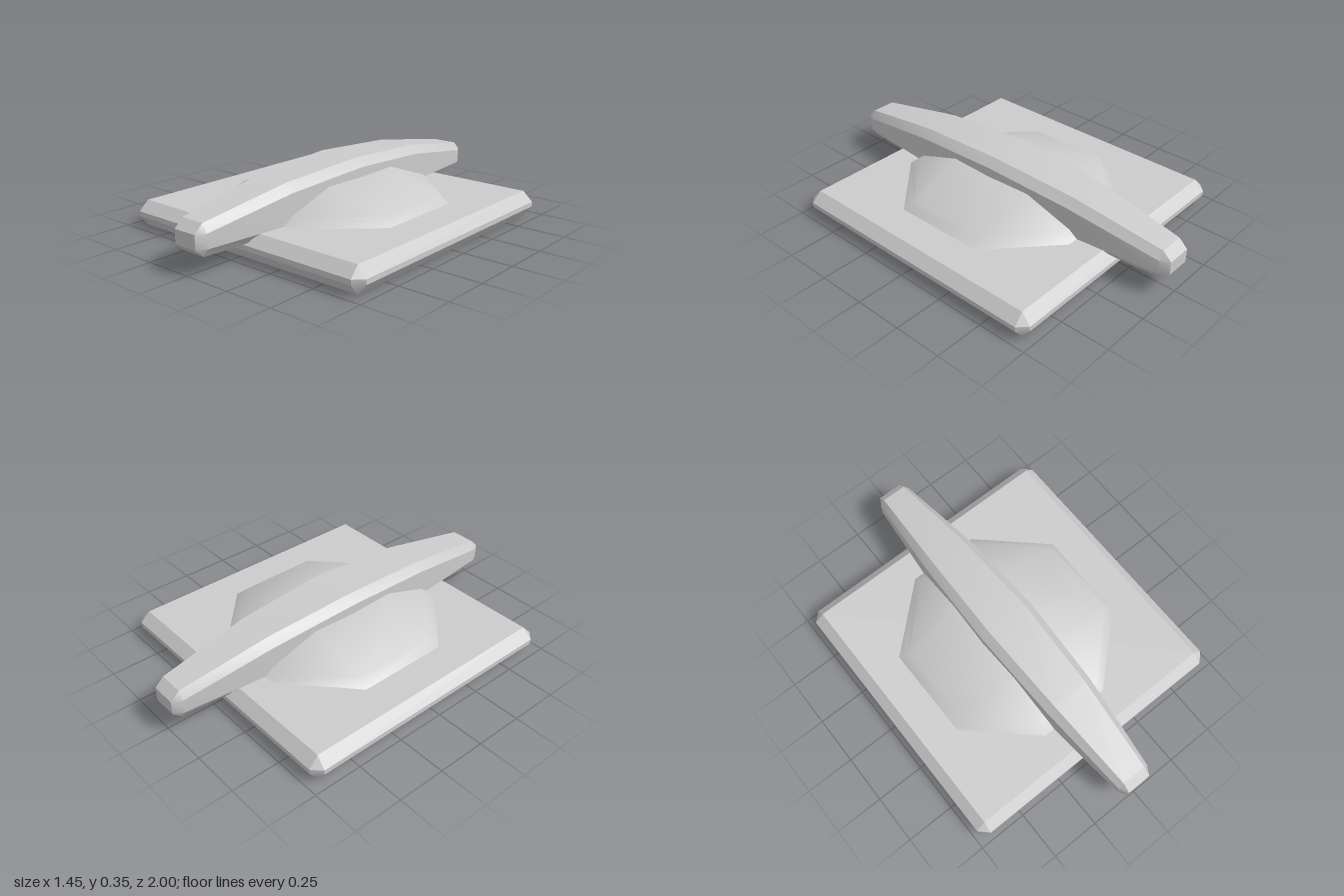
import * as THREE from 'three';
import { toCreasedNormals } from 'three/addons/utils/BufferGeometryUtils.js';

const material = new THREE.MeshStandardMaterial({ color: 0xcccccc });

// Skin a stack of equal-length rings (counter-clockwise seen from the last ring) and cap both ends
function loft(rings) {
  const n = rings[0].length, index = [];
  const last = (rings.length - 1) * n;
  for (let r = 0; r < rings.length - 1; r++) {
    for (let i = 0; i < n; i++) {
      const a = r * n + i, b = r * n + (i + 1) % n;
      index.push(a, b, b + n, a, b + n, a + n);
    }
  }
  for (let i = 1; i < n - 1; i++) {
    index.push(0, i + 1, i, last, last + i, last + i + 1);
  }
  const geometry = new THREE.BufferGeometry();
  geometry.setAttribute('position', new THREE.Float32BufferAttribute(rings.flat(2), 3));
  geometry.setIndex(index);
  return toCreasedNormals(geometry, 0.55);
}

// Eight corners of a cut-corner rectangle: (u1, v1) beside the u sides, (u2, v2) beside the v sides
const octagon = (u1, v1, u2, v2) => [
  [u1, -v1], [u1, v1], [u2, v2], [-u2, v2], [-u1, v1], [-u1, -v1], [-u2, -v2], [u2, -v2],
];
const flatRing = (y, ...size) => octagon(...size).map(([x, v]) => [x, y, -v]);

function add(group, name, geometry) {
  const mesh = new THREE.Mesh(geometry, material);
  mesh.name = name;
  group.add(mesh);
}

export function createModel() {
  const group = new THREE.Group();
  group.name = 'ridgedPlate';

  // Square plate with bevelled edges and clipped corners
  add(group, 'basePlate', loft([
    flatRing(0, 0.68, 0.68, 0.68, 0.68),
    flatRing(0.055, 0.725, 0.68, 0.68, 0.725),
    flatRing(0.08, 0.725, 0.68, 0.68, 0.725),
    flatRing(0.13, 0.675, 0.675, 0.675, 0.675),
  ]));

  // Low faceted mound rising toward the ridge
  add(group, 'mound', loft([
    flatRing(0.12, 0.505, 0.24, 0.185, 0.535),
    flatRing(0.13, 0.505, 0.24, 0.185, 0.535),
    flatRing(0.168, 0.465, 0.21, 0.17, 0.49),
    flatRing(0.256, 0.15, 0.24, 0.15, 0.24),
  ]));

  // Arched ridge: [z, outer half width, top half width, shoulder height, top height, bottom height]
  const half = [
    [0, 0.153, 0.112, 0.305, 0.347, 0.09],
    [0.48, 0.135, 0.096, 0.277, 0.32, 0.09],
    [0.955, 0.09, 0.064, 0.2, 0.242, 0.09],
    [1, 0.064, 0.064, 0.2, 0.2, 0.13],
  ];
  const stations = [...half.slice(1).reverse().map(([z, ...s]) => [-z, ...s]), ...half];
  add(group, 'ridge', loft(stations.map(([z, w, t, shoulder, top, bottom]) => [
    [w, 0.13, z], [w, shoulder, z], [t, top, z], [-t, top, z],
    [-w, shoulder, z], [-w, 0.13, z], [-t, bottom, z], [t, bottom, z],
  ])));

  return group;
}
